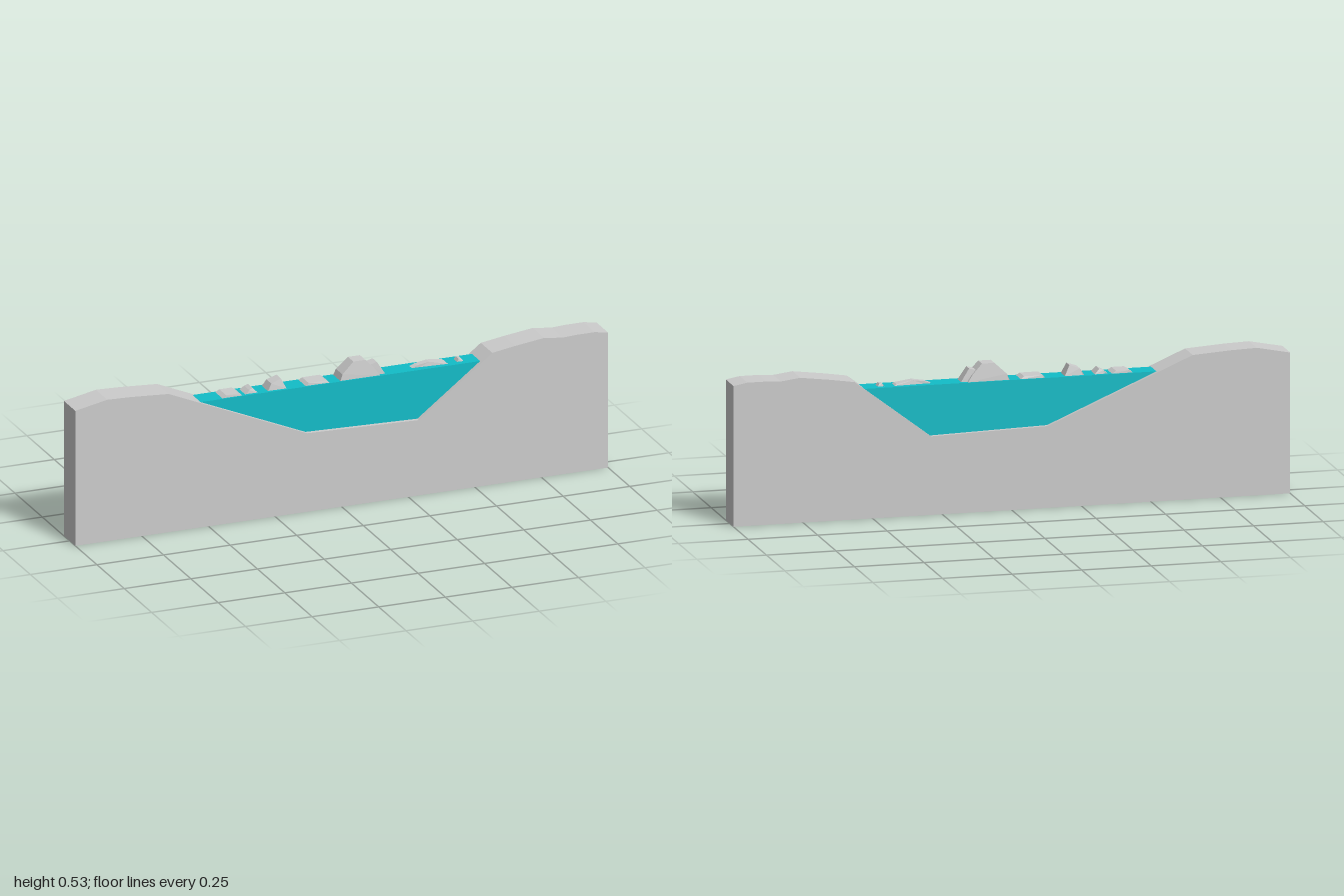
import * as THREE from 'three';

const WATER_Y = 0.46;

// Extrude an outline in the xy plane, centred on z = 0
function slab(points, depth) {
  const shape = new THREE.Shape(points.map(([x, y]) => new THREE.Vector2(x, y)));
  const geometry = new THREE.ExtrudeGeometry(shape, { depth, bevelEnabled: false });
  return geometry.translate(0, 0, -depth / 2);
}

// Rock: extruded outline (heights above the water) whose sides lean inward,
// and whose depth may narrow from left to right
function rock(outline, halfDepth, topScale, endScale = 1) {
  const base = -0.012;
  const first = outline[0][0], last = outline[outline.length - 1][0];
  const height = Math.max(...outline.map((p) => p[1]));
  const points = [[first, base], [last, base], ...[...outline].reverse()];
  const geometry = slab(points, halfDepth * 2);
  const p = geometry.attributes.position;
  for (let i = 0; i < p.count; i++) {
    const up = Math.max(0, p.getY(i)) / height;
    const along = (p.getX(i) - first) / (last - first);
    p.setZ(i, p.getZ(i) * (1 + (topScale - 1) * up) * (1 + (endScale - 1) * along));
  }
  geometry.translate(0, WATER_Y, 0);
  geometry.computeVertexNormals();
  return geometry;
}

export function createModel() {
  const model = new THREE.Group();
  const grey = new THREE.MeshStandardMaterial({ color: 0xcccccc, flatShading: true });
  const teal = new THREE.MeshStandardMaterial({ color: 0x12bdc8, flatShading: true });

  const add = (name, geometry, material, parent = model) => {
    const mesh = new THREE.Mesh(geometry, material);
    mesh.name = name;
    parent.add(mesh);
  };

  // Ground cross-section: two banks and a valley
  add('ground', slab([
    [-1, 0], [1, 0], [1, 0.502], [0.95, 0.511], [0.88, 0.511], [0.83, 0.508],
    [0.76, 0.517], [0.65, 0.503], [0.565, 0.49], [0.29, 0.28], [-0.13, 0.292],
    [-0.65, 0.514], [-0.79, 0.523], [-0.88, 0.526], [-1, 0.502],
  ], 0.105), grey);

  // Water filling the valley, set in slightly from both faces
  add('water', slab([
    [-0.525, WATER_Y], [-0.13, 0.291], [0.29, 0.279], [0.527, WATER_Y],
  ], 0.075), teal);

  // Rocks breaking the surface: outline, half depth, top scale, end scale
  const rocks = new THREE.Group();
  rocks.name = 'rocks';
  model.add(rocks);
  [
    [[[-0.44, 0], [-0.425, 0.009], [-0.38, 0.009], [-0.365, 0]], 0.033, 0.95],
    [[[-0.352, 0], [-0.335, 0.012], [-0.322, 0.018], [-0.305, 0]], 0.027, 0.8],
    [[[-0.267, 0], [-0.252, 0.024], [-0.215, 0.037], [-0.197, 0]], 0.028, 0.72],
    [[[-0.127, 0], [-0.115, 0.009], [-0.05, 0.009], [-0.037, 0]], 0.033, 0.92],
    [[[0.003, 0], [0.012, 0.022], [0.055, 0.062], [0.1, 0.062], [0.135, 0.025], [0.152, 0]], 0.033, 0.75],
    [[[0.09, 0], [0.115, 0.038], [0.145, 0.046], [0.175, 0]], 0.024, 0.8],
    [[[0.28, 0], [0.3, 0.008], [0.345, 0.015], [0.405, 0.005], [0.412, 0]], 0.012, 0.8, 1.7],
    [[[0.448, 0], [0.455, 0.01], [0.465, 0.01], [0.472, 0]], 0.016, 0.8],
  ].forEach(([outline, halfDepth, top, end], i) =>
    add(`rock${i + 1}`, rock(outline, halfDepth, top, end), grey, rocks));

  return model;
}
